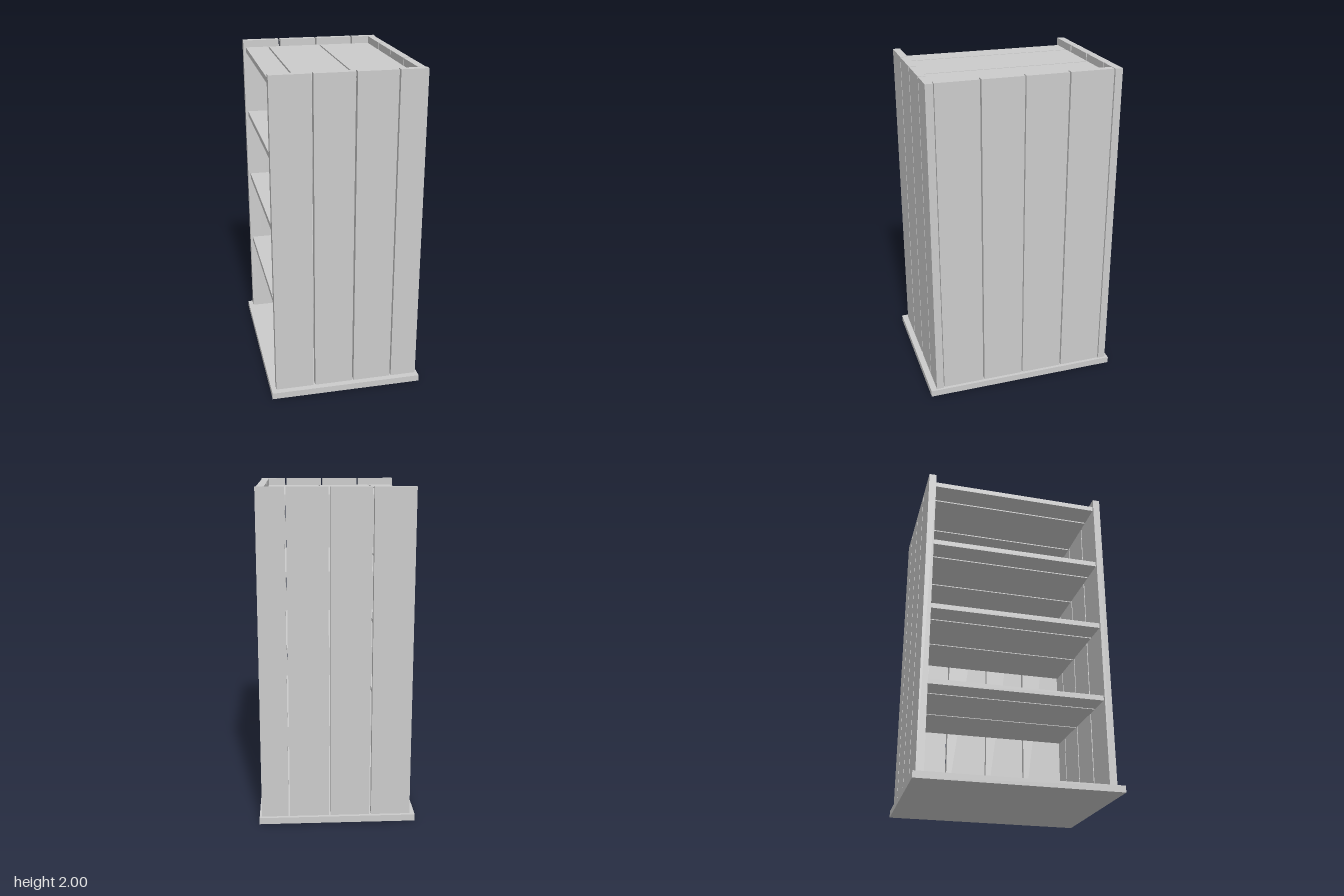
import * as THREE from 'three';

const material = new THREE.MeshStandardMaterial({ color: 0xcccccc, flatShading: true });

// Box given by its lower and upper limits on each axis
function board(name, [x0, x1], [y0, y1], [z0, z1]) {
  const mesh = new THREE.Mesh(new THREE.BoxGeometry(x1 - x0, y1 - y0, z1 - z0), material);
  mesh.position.set((x0 + x1) / 2, (y0 + y1) / 2, (z0 + z1) / 2);
  mesh.name = name;
  return mesh;
}

export function createModel() {
  const model = new THREE.Group();
  model.name = 'plankShelf';
  const height = [0.04, 2];

  // Base slab
  model.add(board('base', [-0.47, 0.47], [0, 0.04], [-0.605, 0.605]));

  // Two end walls of four upright planks, the last one narrower
  const wallPlanks = [[-0.44, -0.205], [-0.194, 0.041], [0.051, 0.286], [0.295, 0.456]];
  const walls = { frontWall: [0.522, 0.567], backWall: [-0.585, -0.539] };
  for (const [name, depth] of Object.entries(walls)) {
    const wall = new THREE.Group();
    wall.name = name;
    wallPlanks.forEach((x, i) => wall.add(board(`${name}Plank${i + 1}`, x, height, depth)));
    model.add(wall);
  }

  // Closed long side of four upright planks
  const sidePanel = new THREE.Group();
  sidePanel.name = 'sidePanel';
  const sidePlanks = [[-0.535, -0.272], [-0.263, -0.006], [0.001, 0.252], [0.261, 0.516]];
  sidePlanks.forEach((z, i) => sidePanel.add(board(`sidePlank${i + 1}`, [0.405, 0.45], height, z)));
  model.add(sidePanel);

  // Four shelves of three boards each, let slightly into the end walls
  const shelfBoards = [[-0.424, -0.281], [-0.271, 0.063], [0.073, 0.409]];
  [0.579, 1.063, 1.508, 1.939].forEach((y, i) => {
    const shelf = new THREE.Group();
    shelf.name = `shelf${i + 1}`;
    shelfBoards.forEach((x, j) =>
      shelf.add(board(`shelfBoard${j + 1}`, x, [y - 0.016, y + 0.016], [-0.541, 0.53])));
    model.add(shelf);
  });

  return model;
}
